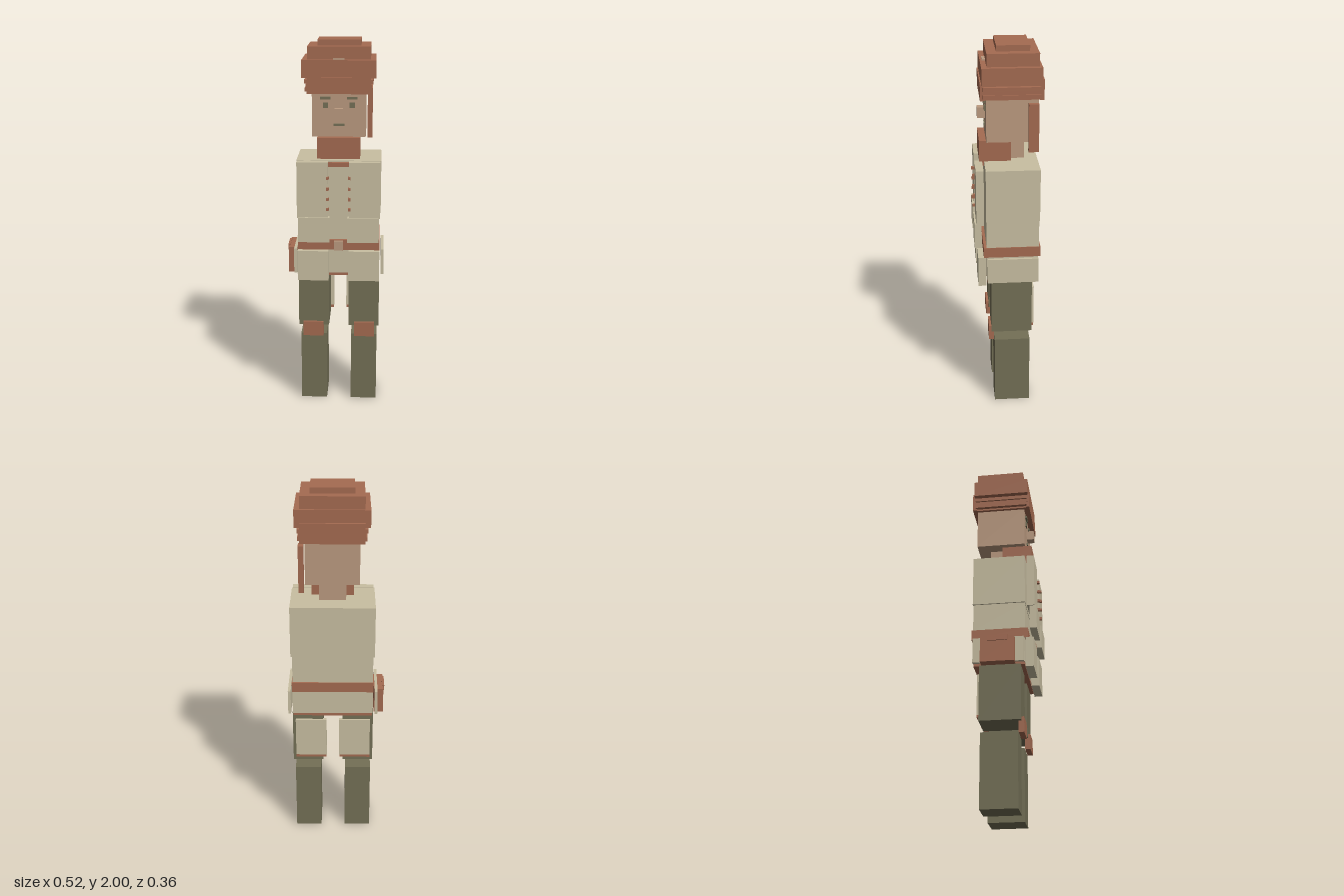
import * as THREE from 'three';

export function createModel() {
  const mat = (name, color) => {
    const m = new THREE.MeshStandardMaterial({ color });
    m.name = name;
    return m;
  };
  const brown = mat('leather brown', 0xa56b51);
  const cream = mat('cream cloth', 0xc9bfa2);
  const olive = mat('olive cloth', 0x747056);
  const skin = mat('skin', 0xbc9b80);

  const model = new THREE.Group();
  model.name = 'blockFigure';
  const groups = {};
  const group = (name) => {
    if (!groups[name]) {
      groups[name] = new THREE.Group();
      groups[name].name = name;
      model.add(groups[name]);
    }
    return groups[name];
  };

  // Box given by its extents along each axis
  const box = (parent, name, m, x0, x1, y0, y1, z0, z1) => {
    const mesh = new THREE.Mesh(new THREE.BoxGeometry(x1 - x0, y1 - y0, z1 - z0), m);
    mesh.position.set((x0 + x1) / 2, (y0 + y1) / 2, (z0 + z1) / 2);
    mesh.name = name;
    group(parent).add(mesh);
  };
  // Body centre line; the pouch on the right shifts it off x = 0
  const cx = 0.017;
  const centred = (parent, name, m, half, ...yz) =>
    box(parent, name, m, cx - half, cx + half, ...yz);
  // Pair of boxes, offset from the centre line by a..b on each side
  const pair = (parent, name, m, a, b, ...yz) => {
    box(parent, name + 'Left', m, cx + a, cx + b, ...yz);
    box(parent, name + 'Right', m, cx - b, cx - a, ...yz);
  };

  // Cap
  centred('cap', 'capTop', brown, 0.112, 1.97, 2.0, -0.113, 0.055);
  centred('cap', 'capCrown', brown, 0.162, 1.9, 1.97, -0.157, 0.105);
  centred('cap', 'capRoll', brown, 0.19, 1.815, 1.905, -0.171, 0.132);
  centred('cap', 'capBand', brown, 0.155, 1.735, 1.815, -0.168, 0.13);
  centred('cap', 'capFrontFlap', brown, 0.163, 1.735, 1.82, 0.12, 0.139);
  centred('cap', 'capBackFlap', brown, 0.163, 1.735, 1.84, -0.182, -0.16);
  pair('cap', 'capSideFlap', brown, 0.15, 0.168, 1.765, 1.785, -0.165, 0.13);
  pair('cap', 'capSideFlapTop', brown, 0.15, 0.177, 1.785, 1.805, -0.165, 0.125);
  pair('cap', 'capSideFlapLow', brown, 0.15, 0.174, 1.745, 1.765, -0.165, 0.125);
  centred('cap', 'capBadge', skin, 0.028, 1.902, 1.914, 0.104, 0.122);

  // Head and face
  centred('head', 'skull', skin, 0.139, 1.51, 1.74, -0.157, 0.108);
  centred('head', 'nose', skin, 0.022, 1.605, 1.66, 0.1, 0.148);
  centred('head', 'mouth', olive, 0.028, 1.566, 1.578, 0.105, 0.114);
  pair('head', 'eye', olive, 0.055, 0.082, 1.66, 1.688, 0.106, 0.115);
  pair('head', 'eyebrow', olive, 0.042, 0.096, 1.705, 1.717, 0.106, 0.118);
  box('head', 'sideBraid', brown, 0.163, 0.19, 1.465, 1.715, -0.157, -0.105);

  // Neck and scarf
  centred('neck', 'neckCore', skin, 0.07, 1.4, 1.51, -0.09, -0.02);
  centred('neck', 'scarf', brown, 0.111, 1.4, 1.51, -0.02, 0.144);

  // Jacket
  centred('jacket', 'upperJacket', cream, 0.222, 1.105, 1.385, -0.163, 0.117);
  centred('jacket', 'lowerJacket', cream, 0.214, 0.955, 1.105, -0.16, 0.115);
  centred('jacket', 'collarStrip', brown, 0.055, 1.355, 1.378, 0.11, 0.138);
  pair('jacket', 'chestPanel', cream, 0.055, 0.218, 1.085, 1.385, 0.127, 0.167);
  pair('jacket', 'waistPanel', cream, 0.047, 0.212, 0.955, 1.09, 0.14, 0.177);
  for (const y of [1.135, 1.19, 1.245, 1.303])
    pair('jacket', 'button', brown, 0.05, 0.063, y - 0.007, y + 0.007, 0.16, 0.18);

  // Belt and pouch
  centred('belt', 'beltStrap', brown, 0.218, 0.9, 0.955, -0.168, 0.13);
  centred('belt', 'buckle', skin, 0.024, 0.902, 0.953, 0.12, 0.152);
  box('belt', 'pouch', brown, -0.256, -0.205, 0.75, 0.89, -0.113, 0.065);
  box('belt', 'pouchFlap', brown, -0.262, -0.25, 0.865, 0.895, -0.077, 0.03);

  // Jacket skirt
  centred('skirt', 'skirtBody', cream, 0.216, 0.765, 0.9, -0.157, 0.113);
  centred('skirt', 'skirtHem', brown, 0.212, 0.75, 0.765, -0.156, 0.112);
  pair('skirt', 'frontPocket', cream, 0.053, 0.218, 0.735, 0.9, 0.117, 0.16);
  pair('skirt', 'sidePocket', cream, 0.226, 0.241, 0.76, 0.897, -0.157, 0.11);

  // Legs
  pair('legs', 'thigh', olive, 0.054, 0.219, 0.45, 0.752, -0.125, 0.092);
  pair('legs', 'thighBackPanel', cream, 0.034, 0.203, 0.488, 0.71, -0.137, -0.115);
  pair('legs', 'thighBackTrim', brown, 0.036, 0.203, 0.473, 0.488, -0.136, -0.115);
  pair('legs', 'kneePad', brown, 0.084, 0.195, 0.39, 0.472, 0.077, 0.105);
  pair('legs', 'boot', olive, 0.067, 0.209, 0, 0.392, -0.117, 0.075);

  return model;
}
